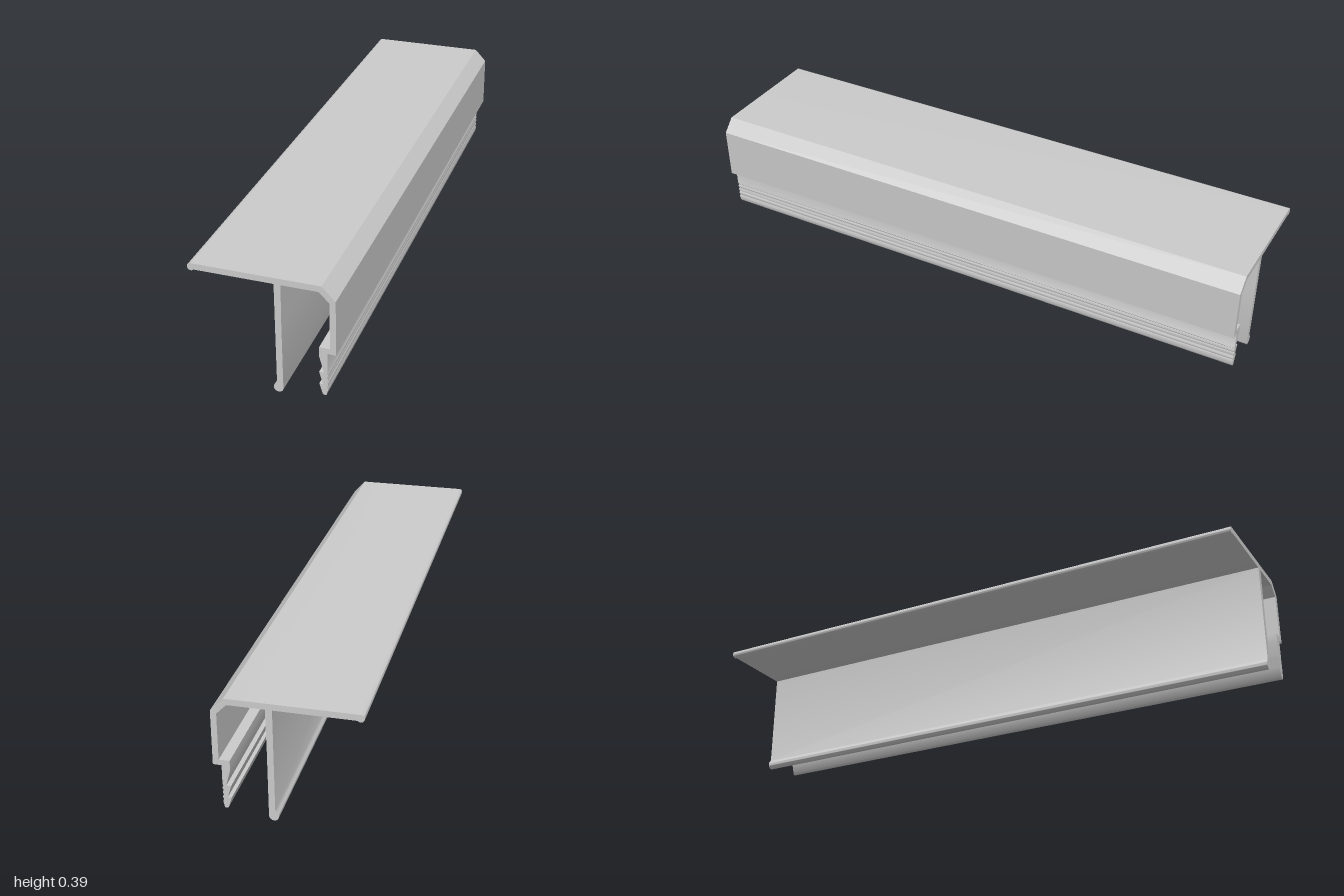
import * as THREE from 'three';
import { toCreasedNormals } from 'three/addons/utils/BufferGeometryUtils.js';

const HALF_LENGTH = 0.9935;
const SKEW = 0.028; // the ends are cut very slightly off square

function trimProfile() {
  const s = new THREE.Shape();
  const lines = (...pts) => pts.forEach(([x, y]) => s.lineTo(x, y));

  // top flange, chamfered shoulder and outer face
  s.moveTo(-0.22, 0.394);
  lines([0.188, 0.394], [0.23, 0.35], [0.23, 0.169], [0.203, 0.169]);

  // outer side of the clip leg, with small serrations
  lines([0.203, 0.104]);
  for (let i = 0; i < 4; i++) {
    const y = 0.1 - i * 0.016;
    lines([0.2, y], [0.203, y - 0.005], [0.203, y - 0.011]);
  }
  lines([0.2, 0.03]);

  // rounded tip and barbs on the inner side
  s.quadraticCurveTo(0.199, 0.022, 0.194, 0.022);
  s.quadraticCurveTo(0.188, 0.022, 0.186, 0.027);
  lines([0.176, 0.06], [0.188, 0.06], [0.176, 0.101], [0.191, 0.101],
    [0.177, 0.155], [0.177, 0.187], [0.211, 0.187]);

  // inside of the channel, down to the web's beaded foot
  lines([0.211, 0.342], [0.179, 0.374], [0.0625, 0.374], [0.061, 0.25], [0.061, 0.0165]);
  s.absarc(0.0455, 0.0155, 0.0155, 0, Math.PI * 0.72, true);
  lines([0.041, 0.037], [0.041, 0.374]);

  // underside of the flange and its beaded lip
  lines([-0.2115, 0.374]);
  s.absarc(-0.22, 0.382, 0.012, -Math.PI / 4, Math.PI / 2, true);
  return s;
}

export function createModel() {
  const model = new THREE.Group();
  model.name = 'edgeTrim';

  const geometry = new THREE.ExtrudeGeometry(trimProfile(), {
    depth: 2 * HALF_LENGTH, bevelEnabled: false, curveSegments: 12,
  });
  geometry.translate(0, 0, -HALF_LENGTH);

  // shear the length so both ends follow the cut
  const p = geometry.attributes.position;
  for (let i = 0; i < p.count; i++) p.setZ(i, p.getZ(i) + SKEW * p.getX(i));

  const profile = new THREE.Mesh(
    toCreasedNormals(geometry, 0.6),
    new THREE.MeshStandardMaterial({ color: 0xcccccc }),
  );
  profile.name = 'extrudedProfile';
  model.add(profile);
  return model;
}
